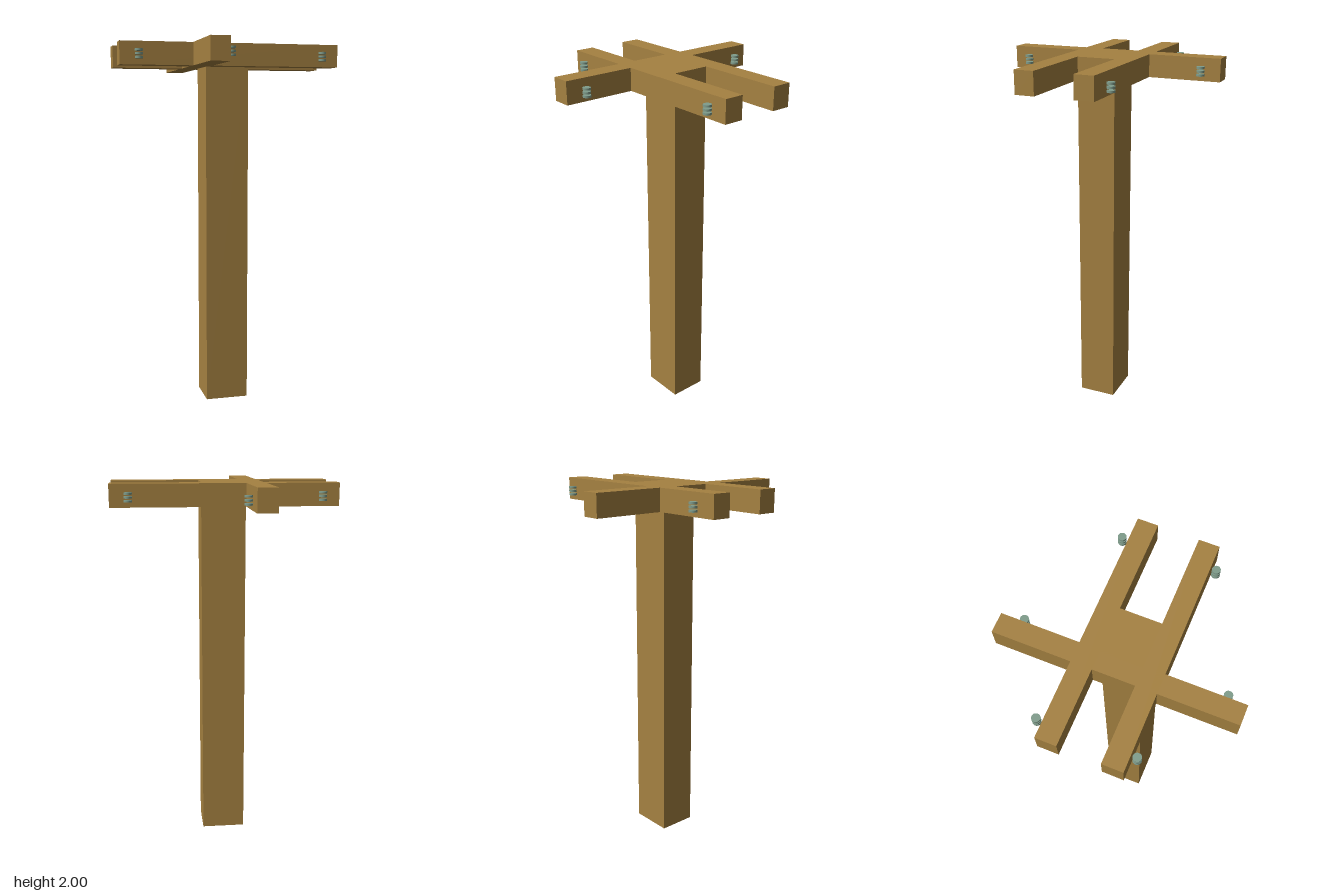
import * as THREE from 'three';

export function createModel() {
  const group = new THREE.Group();
  const wood = new THREE.MeshStandardMaterial({ name: 'wood', color: 0xa58141 });
  const glass = new THREE.MeshStandardMaterial({ name: 'greenGlass', color: 0x7f9c8b });

  // Box given by its minimum and maximum corners
  function beam(name, [x0, y0, z0], [x1, y1, z1]) {
    const mesh = new THREE.Mesh(new THREE.BoxGeometry(x1 - x0, y1 - y0, z1 - z0), wood);
    mesh.position.set((x0 + x1) / 2, (y0 + y1) / 2, (z0 + z1) / 2);
    mesh.name = name;
    group.add(mesh);
  }

  // Upright post and the three crossarms clamped around its top
  beam('post', [-0.119, 0, -0.104], [0.119, 2, 0.104]);
  beam('frontCrossarm', [-0.597, 1.88, 0.104], [0.597, 2, 0.208]);
  beam('backCrossarm', [-0.597, 1.88, -0.208], [0.597, 2, -0.104]);
  beam('sideCrossarm', [-0.21, 1.88, -0.597], [-0.108, 2, 0.597]);

  // Insulators: three stacked discs beside each crossarm end
  const disc = new THREE.CylinderGeometry(0.021, 0.021, 0.011, 24);
  const spots = [
    [-0.5, 0.232], [0.5, 0.232],
    [-0.5, -0.25], [0.5, -0.25],
    [-0.079, 0.5], [-0.079, -0.5],
  ];
  for (const [x, z] of spots) {
    const insulator = new THREE.Group();
    insulator.name = 'insulator';
    insulator.position.set(x, 1.935, z);
    for (const y of [-0.019, 0, 0.019]) {
      const mesh = new THREE.Mesh(disc, glass);
      mesh.name = 'insulatorDisc';
      mesh.position.y = y;
      insulator.add(mesh);
    }
    group.add(insulator);
  }
  return group;
}
